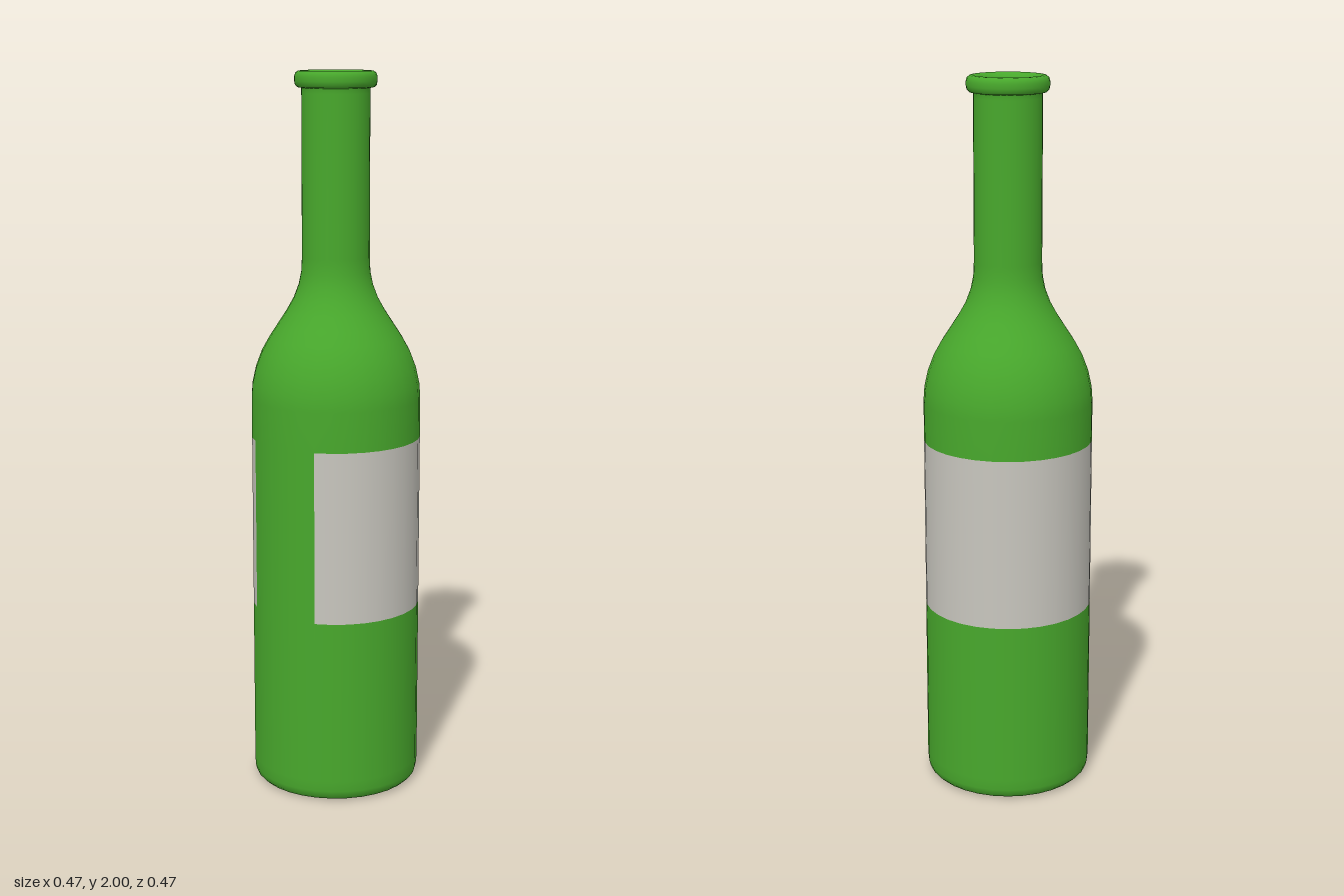
import * as THREE from 'three';

const SEGMENTS = 32;
const STEP = (Math.PI * 2) / SEGMENTS;
const RADIUS = 0.235;
const LABEL_BOTTOM = 0.52, LABEL_TOP = 1.0;

const glass = new THREE.MeshStandardMaterial({ color: 0x48a82c });
const paper = new THREE.MeshStandardMaterial({ color: 0xc8c6be });
const wine = new THREE.MeshStandardMaterial({ color: 0x5c1c1e });

// Revolves [radius, height] pairs; start and count are in whole facets
function revolve(name, profile, material, start = 0, count = SEGMENTS) {
  const points = profile.map(([r, y]) => new THREE.Vector2(r, y));
  const mesh = new THREE.Mesh(new THREE.LatheGeometry(points, count, start * STEP, count * STEP), material);
  mesh.name = name;
  return mesh;
}

export function createModel() {
  const bottle = new THREE.Group();
  bottle.name = 'bottle';

  // Hollowed underside, rounded heel and lower wall
  bottle.add(revolve('base', [
    [0, 0.065], [0.06, 0.062], [0.11, 0.053], [0.15, 0.035], [0.175, 0.014],
    [0.19, 0.003], [0.205, 0], [0.22, 0.004], [0.23, 0.014], [0.234, 0.03],
    [RADIUS, 0.06], [RADIUS, LABEL_BOTTOM],
  ], glass));

  // Label wraps the wall except for a five-facet gap on one side
  const band = [[RADIUS, LABEL_BOTTOM], [RADIUS, LABEL_TOP]];
  bottle.add(revolve('label', band, paper, 27, 27));
  bottle.add(revolve('labelGap', band, glass, 22, 5));

  // Shoulder, neck, rounded lip and the bore inside
  bottle.add(revolve('shoulderAndNeck', [
    [RADIUS, LABEL_TOP], [RADIUS, 1.11], [0.232, 1.15], [0.222, 1.195],
    [0.205, 1.24], [0.184, 1.278], [0.16, 1.315], [0.136, 1.352],
    [0.116, 1.388], [0.102, 1.425], [0.095, 1.46], [0.093, 1.5],
    [0.093, 1.94], [0.093, 1.953], [0.095, 1.955], [0.104, 1.956],
    [0.11, 1.962], [0.112, 1.972], [0.112, 1.984], [0.109, 1.994],
    [0.102, 1.999], [0.094, 2], [0.084, 1.997], [0.076, 1.99],
    [0.071, 1.978], [0.07, 1.96], [0.07, 1.48],
  ], glass));

  // Wine standing in the neck
  const surface = new THREE.Mesh(new THREE.CircleGeometry(0.07, SEGMENTS), wine);
  surface.name = 'wineSurface';
  surface.rotation.x = -Math.PI / 2;
  surface.position.y = 1.5;
  bottle.add(surface);

  return bottle;
}
